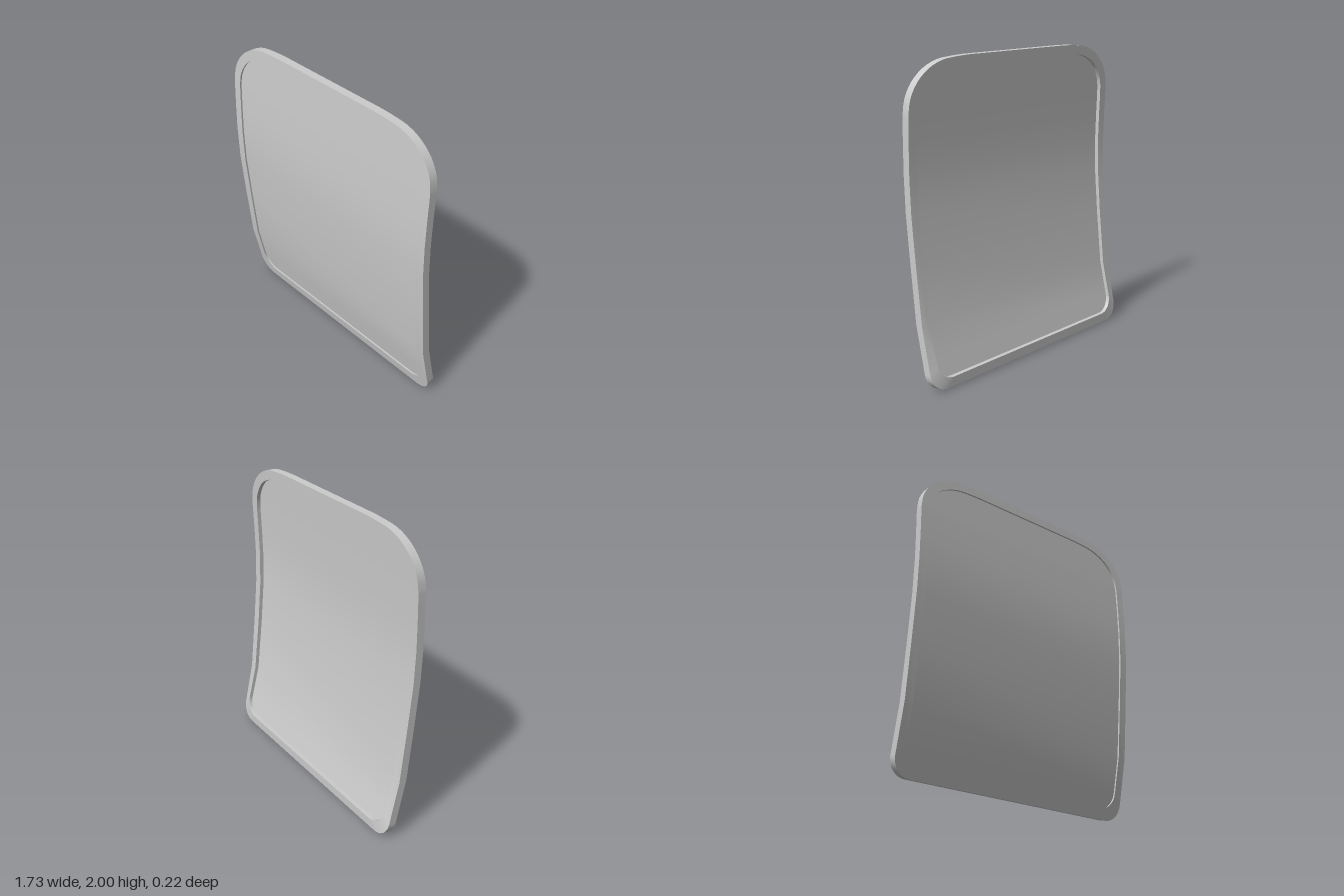
import * as THREE from 'three';

// Depth profiles as [y, z] pairs: the front face and the rear edges of the rim
const FRONT = [[0, -0.052], [0.42, 0.04], [0.8, 0.077], [1.1, 0.103], [1.32, 0.109], [1.5, 0.106], [1.68, 0.1], [2, 0.085]];
const BACK_OUTER = [[0, -0.105], [0.42, -0.015], [0.8, 0.024], [1.1, 0.051], [1.32, 0.057], [1.5, 0.053], [1.68, 0.046], [2, 0.032]];
const BACK_INNER = [[0.075, -0.106], [0.42, -0.019], [0.8, 0.024], [1.1, 0.051], [1.32, 0.057], [1.5, 0.053], [1.68, 0.046], [2, 0.032]];
const SIDE_Y = [0.42, 0.8, 1.1, 1.32, 1.5];

function depthAt(profile, y) {
  let i = 0;
  while (i < profile.length - 2 && y > profile[i + 1][0]) i++;
  const [y0, z0] = profile[i];
  const [y1, z1] = profile[i + 1];
  return z0 + (z1 - z0) * (y - y0) / (y1 - y0);
}

// Right half of an outline, from the bottom edge up to the top edge
function halfOutline(cx, cy, r, topCorner) {
  const pts = [];
  for (let i = 0; i <= 8; i++) {
    const a = -Math.PI / 2 + (i / 8) * Math.PI / 2;
    pts.push(new THREE.Vector2(cx + r * Math.cos(a), cy + r * Math.sin(a)));
  }
  for (const y of SIDE_Y) pts.push(new THREE.Vector2(cx + r, y));
  const curve = new THREE.SplineCurve(topCorner.map(([x, y]) => new THREE.Vector2(x, y)));
  return pts.concat(curve.getPoints(18));
}

// Bend a half outline onto a depth profile; lift tilts the lower rear edge
const place = (half, profile, dz = 0, lift = 0) => half.map(p =>
  new THREE.Vector3(p.x, p.y + lift * Math.max(0, 1 - p.y / 0.42), depthAt(profile, p.y) + dz));
const mirror = half => half.map(p => new THREE.Vector3(-p.x, p.y, p.z));
const loop = half => [...half, ...mirror(half).reverse()];

// Surface between two matching rows of points
function strip(name, a, b, closed, material) {
  const n = a.length;
  const index = [];
  for (let i = 0; i < (closed ? n : n - 1); i++) {
    const j = (i + 1) % n;
    index.push(i, n + i, j, n + i, n + j, j);
  }
  const geometry = new THREE.BufferGeometry().setFromPoints([...a, ...b]);
  geometry.setIndex(index);
  geometry.computeVertexNormals();
  const mesh = new THREE.Mesh(geometry, material);
  mesh.name = name;
  return mesh;
}

export function createModel() {
  const model = new THREE.Group();
  model.name = 'curvedPanel';
  const material = new THREE.MeshStandardMaterial({ color: 0xcccccc });

  const outer = halfOutline(0.75, 0.115, 0.115, [[0.865, 1.68], [0.85, 1.78], [0.8, 1.87], [0.72, 1.94], [0.62, 1.982], [0.5, 1.996], [0.4, 2]]);
  const inner = halfOutline(0.7, 0.185, 0.11, [[0.81, 1.65], [0.8, 1.74], [0.76, 1.82], [0.7, 1.88], [0.6, 1.925], [0.5, 1.938], [0.4, 1.942]]);

  const outerFront = place(outer, FRONT);
  const outerBack = place(outer, BACK_OUTER, 0, 0.013);
  const innerFront = place(inner, FRONT);
  const innerBack = place(inner, BACK_INNER);
  const panelFront = place(inner, FRONT, -0.012);
  const panelBack = place(inner, BACK_INNER, 0.027);

  // Raised rim around the panel
  const rim = new THREE.Group();
  rim.name = 'rim';
  const ring = (name, a, b) => rim.add(strip(name, loop(a), loop(b), true, material));
  ring('rimOuterWall', outerFront, outerBack);
  ring('rimFrontFace', innerFront, outerFront);
  ring('rimBackFace', outerBack, innerBack);
  ring('rimFrontStep', panelFront, innerFront);
  ring('rimBackStep', innerBack, panelBack);

  // Thin recessed panel, curved from bottom to top
  const panel = new THREE.Group();
  panel.name = 'panel';
  panel.add(strip('panelFront', mirror(panelFront), panelFront, false, material));
  panel.add(strip('panelBack', panelBack, mirror(panelBack), false, material));

  model.add(rim, panel);
  return model;
}
